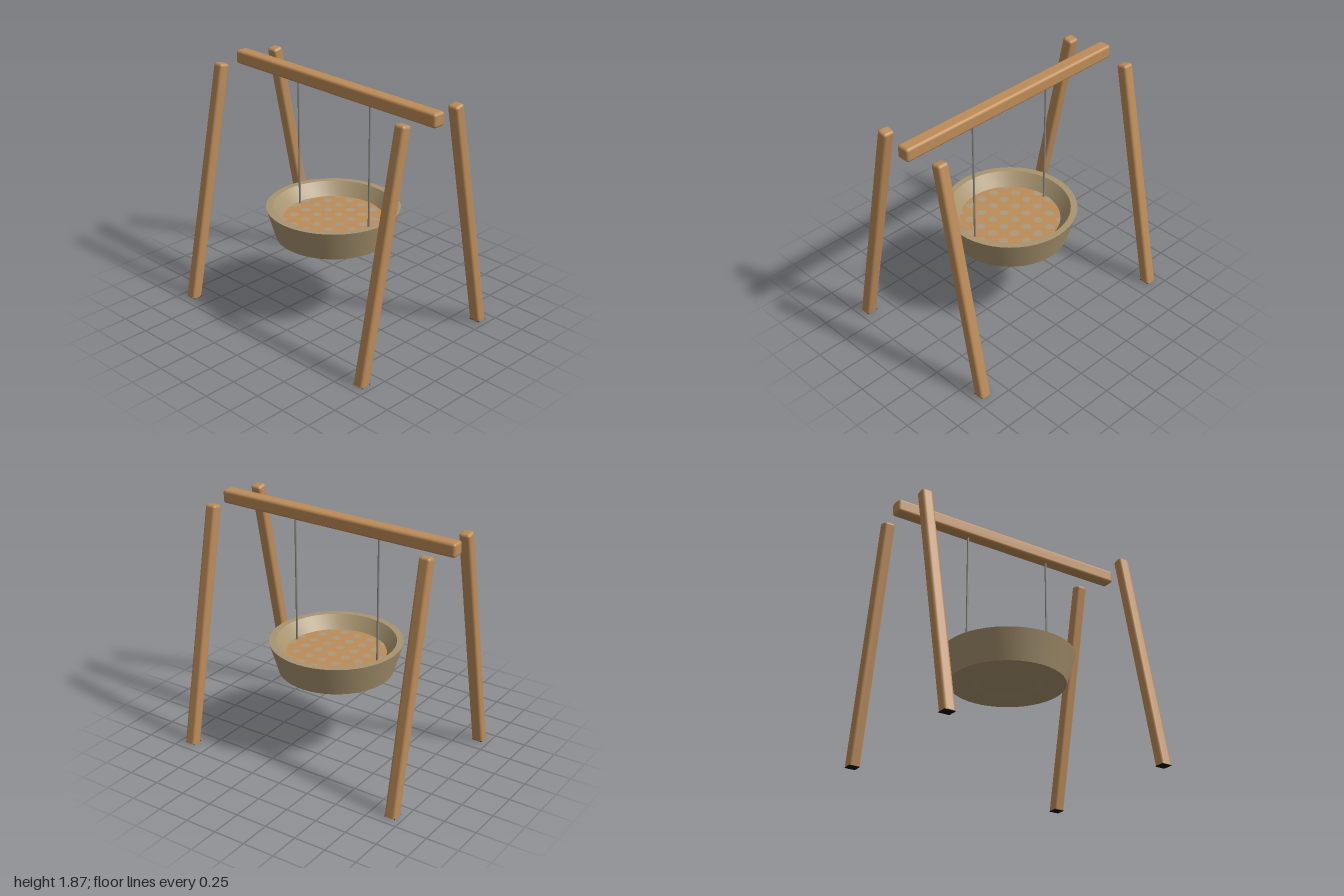
import * as THREE from 'three';
import { toCreasedNormals } from 'three/addons/utils/BufferGeometryUtils.js';
import { RoundedBoxGeometry } from 'three/addons/geometries/RoundedBoxGeometry.js';

const mat = (name, color) => {
  const m = new THREE.MeshStandardMaterial({ color });
  m.name = name;
  return m;
};

// Leaning post with a rounded top, cut level just above the ground
function legGeometry() {
  const tilt = Math.atan(0.374 / 1.84), length = 1.9;
  const g = new RoundedBoxGeometry(0.09, length, 0.086, 3, 0.022);
  g.translate(0, -length / 2, 0);
  g.rotateX(-tilt);
  g.translate(0, 1.841, 0.27);
  const p = g.attributes.position, n = g.attributes.normal;
  const isFoot = [];
  for (let i = 0; i < p.count; i++) {
    isFoot[i] = p.getY(i) < 0.9;
    if (!isFoot[i]) continue;
    p.setZ(i, p.getZ(i) + (p.getY(i) - 0.003) * Math.tan(tilt));
    p.setY(i, 0.003);
  }
  for (let i = 0; i < p.count; i += 3) {
    if (isFoot[i] && isFoot[i + 1] && isFoot[i + 2]) {
      for (let k = 0; k < 3; k++) n.setXYZ(i + k, 0, -1, 0);
    }
  }
  return g;
}

// Flat dot on the pad, trimmed where it crosses the pad's edge
function dotGeometry(x, z, limit) {
  const g = new THREE.CircleGeometry(0.034, 20);
  g.rotateX(-Math.PI / 2);
  g.translate(x, 0, z);
  const p = g.attributes.position;
  for (let i = 0; i < p.count; i++) {
    const r = Math.hypot(p.getX(i), p.getZ(i));
    if (r > limit) p.setXYZ(i, p.getX(i) * limit / r, 0, p.getZ(i) * limit / r);
  }
  return g;
}

export function createModel() {
  const model = new THREE.Group();
  model.name = 'nestSwing';
  const wood = mat('wood', 0xbd8c58);
  const basket = mat('basket', 0xa8946f);
  const dotPaint = mat('dots', 0xa99a7c);
  const steel = mat('steel', 0x8e8b84);
  const footBlack = mat('footBlack', 0x080706);

  const add = (name, geometry, material, x = 0, y = 0, z = 0, parent = model) => {
    const mesh = new THREE.Mesh(geometry, material);
    mesh.name = name;
    mesh.position.set(x, y, z);
    parent.add(mesh);
    return mesh;
  };

  // Frame
  add('crossbeam', new RoundedBoxGeometry(2, 0.106, 0.106, 3, 0.022), wood, 0, 1.82, 0);
  const leg = legGeometry();
  const foot = new RoundedBoxGeometry(0.084, 0.004, 0.08, 1, 0.001);
  for (const side of [1, -1]) {
    for (const end of [1, -1]) {
      const post = new THREE.Group();
      post.name = (end > 0 ? 'front' : 'back') + (side > 0 ? 'Left' : 'Right') + 'Leg';
      post.position.x = side * 0.91;
      post.rotation.y = end > 0 ? 0 : Math.PI;
      add('post', leg, wood, 0, 0, 0, post);
      add('footCap', foot, footBlack, 0, 0.002, 0.642, post);
      model.add(post);
    }
    // Hanging rods
    add(side > 0 ? 'leftRod' : 'rightRod',
      new THREE.CylinderGeometry(0.008, 0.008, 1.01, 12), steel, side * 0.363, 1.275, 0);
  }

  // Basket: shallow recess below, sloped wall, flat rim, inner wall
  const profile = [
    [0, 0.665], [0.2, 0.665], [0.23, 0.66], [0.26, 0.645], [0.29, 0.64], [0.437, 0.64],
    [0.505, 0.873], [0.455, 0.873], [0.38, 0.772], [0, 0.772],
  ].map(([r, y]) => new THREE.Vector2(r, y));
  add('basket', toCreasedNormals(new THREE.LatheGeometry(profile, 48), 0.6), basket);

  // Seat pad with dots
  const pad = new THREE.CircleGeometry(0.38, 48);
  pad.rotateX(-Math.PI / 2);
  add('seatPad', pad, wood, 0, 0.775, 0);
  const dots = new THREE.Group();
  dots.name = 'padDots';
  for (let i = -3; i <= 3; i++) {
    for (let j = -3; j < 3; j++) {
      const x = i * 0.12 + 0.004, z = (j + 0.5) * 0.12;
      if (Math.hypot(x, z) < 0.395) add('dot', dotGeometry(x, z, 0.379), dotPaint, 0, 0.778, 0, dots);
    }
  }
  model.add(dots);
  return model;
}
